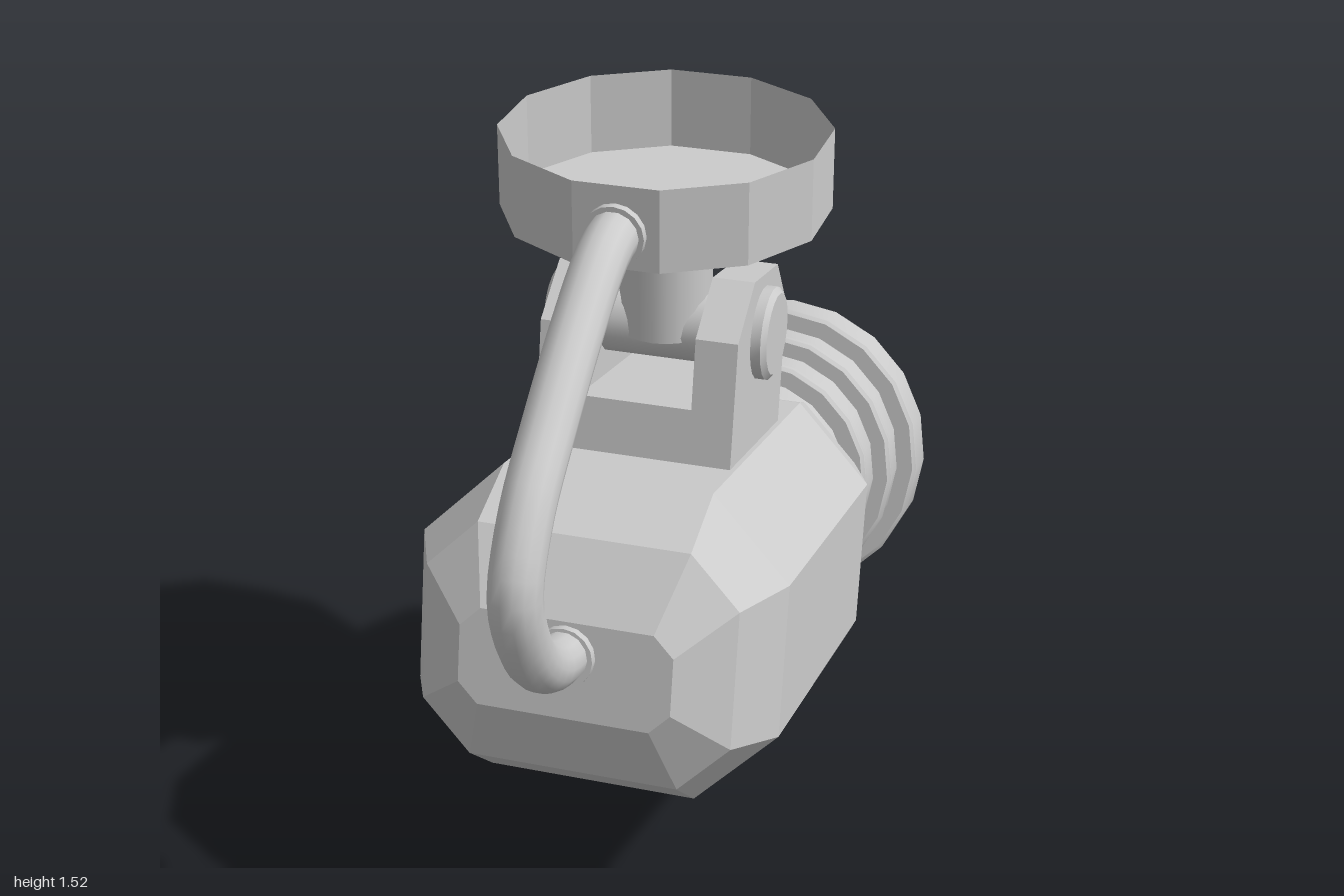
import * as THREE from 'three';
import { toCreasedNormals, mergeVertices } from 'three/addons/utils/BufferGeometryUtils.js';

const grey = new THREE.MeshStandardMaterial({ color: 0xcccccc });
const faceted = new THREE.MeshStandardMaterial({ color: 0xcccccc, flatShading: true });
const thin = new THREE.MeshStandardMaterial({ color: 0xcccccc, side: THREE.DoubleSide });

function add(parent, name, geometry, material = grey, x = 0, y = 0, z = 0) {
  const mesh = new THREE.Mesh(geometry, material);
  mesh.name = name;
  mesh.position.set(x, y, z);
  parent.add(mesh);
  return mesh;
}

// Turned part around y, with sharp steps kept crisp
function turned(profile, sides) {
  const points = profile.map(([r, h]) => new THREE.Vector2(r, h));
  return toCreasedNormals(new THREE.LatheGeometry(points, sides), 0.5);
}

// Chamfered-rectangle cross-section at depth z
function octagon([z, w, h, c]) {
  return [[w, -h + c], [w, h - c], [w - c, h], [c - w, h], [-w, h - c], [-w, c - h], [c - w, -h], [w - c, -h]]
    .map(([x, y]) => [x, y, z]);
}

// Joins octagonal sections, ordered from low z to high z, and caps both ends
function loft(sections) {
  const rings = sections.map(octagon);
  const n = 8, index = [];
  for (let i = 0; i < rings.length - 1; i++) {
    for (let j = 0; j < n; j++) {
      const a = i * n + j, b = i * n + (j + 1) % n;
      index.push(a, b, b + n, a, b + n, a + n);
    }
  }
  const last = (rings.length - 1) * n;
  for (let j = 1; j < n - 1; j++) {
    index.push(0, j + 1, j);
    index.push(last, last + j, last + j + 1);
  }
  const g = new THREE.BufferGeometry();
  g.setAttribute('position', new THREE.Float32BufferAttribute(rings.flat(2), 3));
  g.setIndex(index);
  const flat = g.toNonIndexed();
  flat.computeVertexNormals();
  return flat;
}

// Side profile in (z, y), extruded between two x positions
function sidePlate(points, x0, x1) {
  const shape = new THREE.Shape(points.map(([z, y]) => new THREE.Vector2(-z, y)));
  const g = new THREE.ExtrudeGeometry(shape, { depth: x1 - x0, bevelEnabled: false });
  g.rotateY(Math.PI / 2);
  g.translate(x0, 0, 0);
  return g;
}

export function createModel() {
  const model = new THREE.Group();
  model.name = 'ceilingSpotlight';

  // Tilted lamp head, with the lens axis along its own -z
  const head = new THREE.Group();
  head.name = 'lampHead';
  head.position.y = 0.53;
  head.rotation.x = -0.195;
  model.add(head);

  // Housing: depth, half width, half height, chamfer
  add(head, 'housing', loft([
    [-0.365, 0.22, 0.232, 0.08],
    [-0.31, 0.31, 0.275, 0.12],
    [-0.17, 0.37, 0.315, 0.16],
    [0.51, 0.37, 0.315, 0.16],
    [0.645, 0.31, 0.238, 0.1],
    [0.724, 0.21, 0.097, 0.04],
  ]), faceted, 0, 0.01, 0);

  // Stepped barrel: each step starts with a small raised lip
  const barrel = [[0.21, 0.35]];
  const starts = [0.5, 0.615, 0.73, 0.84];
  const radii = [0.245, 0.282, 0.316, 0.354];
  let previous = 0.21;
  starts.forEach((d, i) => {
    const r = radii[i];
    const end = i < 3 ? starts[i + 1] : 0.95;
    barrel.push([previous, d], [r - 0.008, d], [r, d + 0.008], [r, d + 0.022]);
    previous = i < 3 ? r - 0.008 : r;
    barrel.push([previous, d + 0.028], [previous, end - 0.008]);
  });
  barrel.push([0.346, 0.95], [0.312, 0.95], [0.3, 0.9]);
  add(head, 'lensBarrel', turned(barrel, 20), thin).rotation.x = -Math.PI / 2;

  // Domed lens
  const dome = [];
  for (let i = 0; i <= 8; i++) {
    const a = (1 - i / 8) * Math.PI / 4;
    const k = Math.SQRT1_2;
    dome.push([0.302 * Math.sin(a) / k, 0.9 + 0.088 * (Math.cos(a) - k) / (1 - k)]);
  }
  add(head, 'lens', turned(dome, 20)).rotation.x = -Math.PI / 2;

  // Yoke bracket: two chamfered cheeks on a block
  const cheek = [[0.356, 0.3], [-0.02, 0.3], [-0.02, 0.577], [0.078, 0.678], [0.256, 0.678], [0.356, 0.577]];
  for (const side of [-1, 1]) {
    add(head, side > 0 ? 'leftCheek' : 'rightCheek',
      sidePlate(cheek, side > 0 ? 0.115 : -0.2, side > 0 ? 0.2 : -0.115));
  }
  add(head, 'yokeBase', new THREE.BoxGeometry(0.232, 0.135, 0.376), grey, 0, 0.3675, 0.168);

  // Pivot pin with rounded caps
  const pin = [[0, -0.23], [0.082, -0.23], [0.094, -0.22], [0.094, -0.195], [0.076, -0.195],
    [0.076, 0.195], [0.094, 0.195], [0.094, 0.22], [0.082, 0.23], [0, 0.23]];
  add(model, 'pivotPin', turned(pin, 20), grey, 0, 1.11, 0.056).rotation.z = Math.PI / 2;

  // Stem and collar under the ceiling cup
  add(model, 'stem', new THREE.CylinderGeometry(0.093, 0.093, 0.24, 20), grey, 0, 1.22, 0.056);
  add(model, 'collar', new THREE.CylinderGeometry(0.137, 0.137, 0.04, 20), grey, 0, 1.338, 0.056);

  // Open-topped ceiling cup
  const cup = turned([[0, 1.355], [0.326, 1.355], [0.326, 1.52]], 12);
  cup.rotateY(Math.PI / 12);
  add(model, 'ceilingCup', cup, thin, 0, 0, 0.056);

  // Power cable from the cup to the back of the housing
  const path = [[1.425, 0.34], [1.425, 0.4], [1.405, 0.47], [1.325, 0.605], [1.215, 0.755], [1.11, 0.878],
    [1.0, 0.944], [0.94, 0.944], [0.825, 0.89], [0.745, 0.80], [0.705, 0.68]]
    .map(([y, z]) => new THREE.Vector3(0, y, z));
  add(model, 'cable', new THREE.TubeGeometry(new THREE.CatmullRomCurve3(path), 32, 0.05, 14));

  // Grommets at both cable ends
  const grommet = () => new THREE.CylinderGeometry(0.06, 0.06, 0.03, 16);
  add(model, 'upperGrommet', grommet(), grey, 0, 1.425, 0.373).rotation.x = Math.PI / 2;
  add(head, 'lowerGrommet', grommet(), grey, 0, 0.04, 0.727).rotation.x = Math.PI / 2;

  return model;
}
